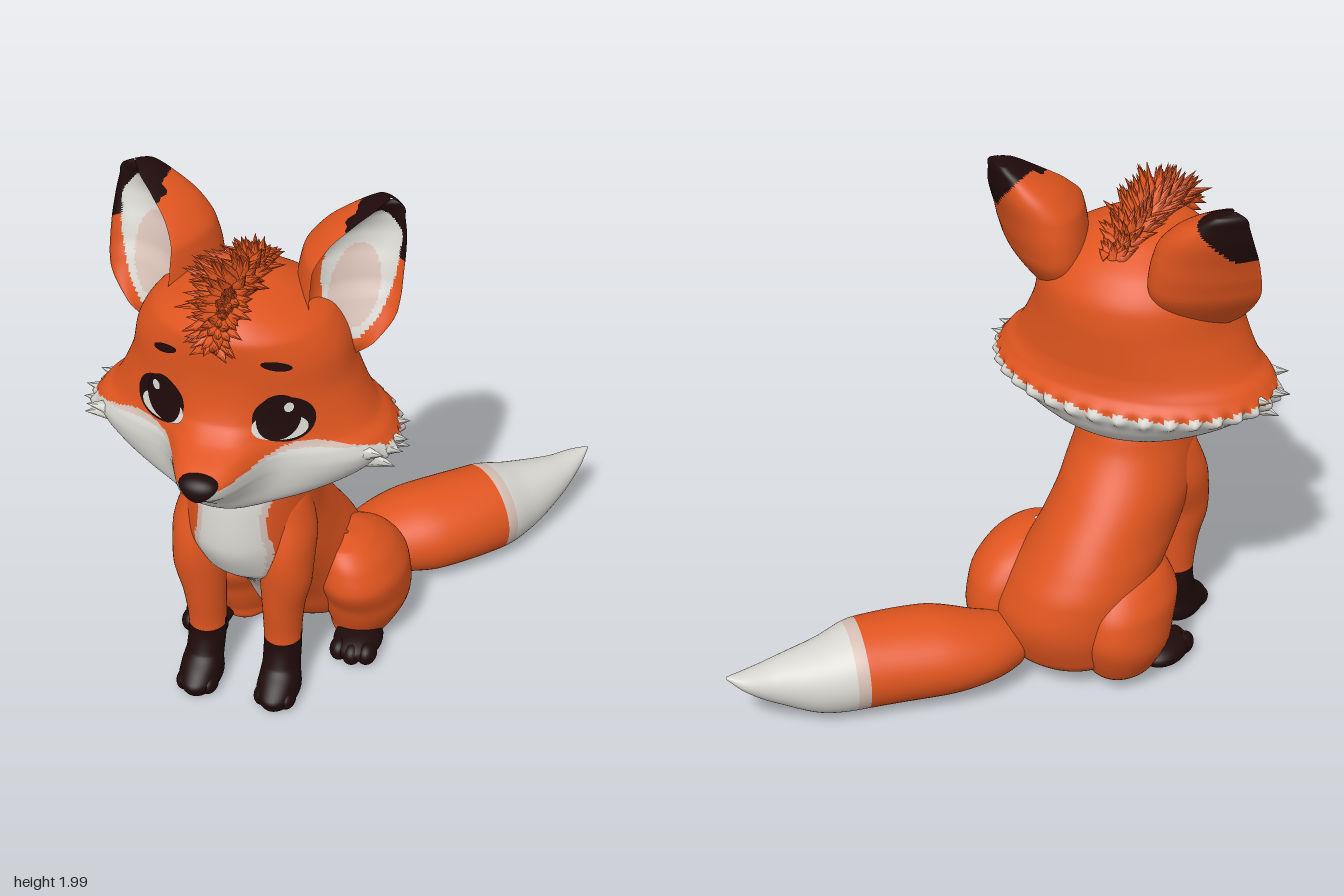
import * as THREE from 'three';
import { mergeGeometries } from 'three/addons/utils/BufferGeometryUtils.js';

const mat = (name, color) => Object.assign(new THREE.MeshStandardMaterial({ color }), { name });
const orange = mat('orange fur', 0xe0551f), white = mat('white fur', 0xd8d6d0);
const pale = mat('pale fur', 0xd5beb4), dark = mat('dark brown', 0x1f0a0b);
const MATS = [orange, white, pale, dark], O = 0, W = 1, P = 2, D = 3;
const { sin, cos, abs, exp, max, sqrt, PI } = Math;

// Smooth monotone interpolation of key rows; column 0 is the station
function sample(keys, s) {
  let i = 0;
  while (i < keys.length - 2 && s > keys[i + 1][0]) i++;
  const slope = (j, c) => (keys[j + 1][c] - keys[j][c]) / (keys[j + 1][0] - keys[j][0]);
  const tangent = (j, c) => {
    if (j === 0) return slope(0, c);
    if (j === keys.length - 1) return slope(j - 1, c);
    const a = slope(j - 1, c), b = slope(j, c);
    return a * b <= 0 ? 0 : 2 * a * b / (a + b);
  };
  const A = keys[i], B = keys[i + 1], h = B[0] - A[0], t = (s - A[0]) / h, t2 = t * t, t3 = t2 * t;
  return A.map((a, c) => c === 0 ? s : (2 * t3 - 3 * t2 + 1) * a + (t3 - 2 * t2 + t) * h * tangent(i, c)
    + (3 * t2 - 2 * t3) * B[c] + (t3 - t2) * h * tangent(i + 1, c));
}

// Closed skin over key rings; place(row, angle) gives a point, paint(point, angle, station) a colour
function loft(name, keys, sub, seg, place, paint) {
  const pos = [], rows = [];
  keys.forEach((k, i) => {
    const n = i < keys.length - 1 ? sub : 1;
    for (let j = 0; j < n; j++) rows.push(j ? k[0] + (keys[i + 1][0] - k[0]) * j / n : k[0]);
  });
  for (const s of rows) for (let j = 0; j < seg; j++) pos.push(new THREE.Vector3(...place(sample(keys, s), j / seg * 2 * PI)));
  const faces = MATS.map(() => []), cross = new THREE.Vector3();
  let volume = 0;
  const tri = (a, b, c, angle, s) => {
    volume += pos[a].dot(cross.crossVectors(pos[b], pos[c]));
    const mid = pos[a].clone().add(pos[b]).add(pos[c]).divideScalar(3);
    faces[paint(mid, angle, s)].push([a, b, c]);
  };
  for (let i = 0; i < rows.length - 1; i++) for (let j = 0; j < seg; j++) {
    const a = i * seg + j, b = i * seg + (j + 1) % seg, angle = (j + 0.5) / seg * 2 * PI, s = (rows[i] + rows[i + 1]) / 2;
    tri(a, b, a + seg, angle, s);
    tri(b, b + seg, a + seg, angle, s);
  }
  const geo = new THREE.BufferGeometry().setFromPoints(pos), index = [];
  faces.forEach((list, m) => {
    if (list.length) geo.addGroup(index.length, list.length * 3, m);
    for (const [a, b, c] of list) index.push(a, ...(volume < 0 ? [c, b] : [b, c]));
  });
  geo.setIndex(index);
  geo.computeVertexNormals();
  const mesh = new THREE.Mesh(geo, MATS);
  mesh.name = name;
  return mesh;
}

function ball(name, material, x, y, z, rx, ry, rz) {
  const m = new THREE.Mesh(new THREE.SphereGeometry(1, 28, 18), material);
  m.name = name;
  m.position.set(x, y, z);
  m.scale.set(rx, ry, rz);
  return m;
}

// A cone from a base point along a direction
function spike(base, dir, length, radius) {
  const q = new THREE.Quaternion().setFromUnitVectors(new THREE.Vector3(0, 1, 0), dir.clone().normalize());
  return new THREE.ConeGeometry(radius, length, 6).translate(0, length / 2, 0).applyQuaternion(q).translate(base.x, base.y, base.z);
}

// Head rings: y, half width, back depth, front depth, muzzle length (around z = 0.4)
const HEAD = [
  [0.975, 0.01, 0.01, 0.01, 0], [0.985, 0.2, 0.22, 0.24, 0], [1.0, 0.29, 0.28, 0.28, 0.03], [1.05, 0.4, 0.34, 0.3, 0.08],
  [1.1, 0.475, 0.375, 0.3, 0.12], [1.16, 0.53, 0.4, 0.3, 0.19], [1.19, 0.54, 0.4, 0.3, 0.23], [1.23, 0.52, 0.375, 0.3, 0.245],
  [1.27, 0.475, 0.365, 0.295, 0.185], [1.31, 0.45, 0.36, 0.29, 0.09], [1.36, 0.425, 0.36, 0.29, 0.035], [1.45, 0.39, 0.36, 0.29, 0.01],
  [1.55, 0.37, 0.35, 0.293, 0], [1.65, 0.315, 0.29, 0.295, 0], [1.71, 0.22, 0.21, 0.26, 0], [1.755, 0.11, 0.12, 0.18, 0], [1.77, 0.01, 0.01, 0.01, 0]];
const muzzle = x => exp(-Math.pow(abs(x) / 0.14, 3));
function headFront(x, y) {
  const [, w, , f, s] = sample(HEAD, y);
  return 0.4 + f * sqrt(max(0, 1 - (x / w) ** 2)) + s * muzzle(x);
}

// Thin oval laid on the face
function facePatch(name, material, x, y, rx, ry, turn, lift) {
  const geo = new THREE.RingGeometry(0.001, 1, 36, 6).scale(rx, ry, 1).rotateZ(turn).translate(x, y, 0);
  const p = geo.attributes.position;
  for (let i = 0; i < p.count; i++) p.setZ(i, headFront(p.getX(i), p.getY(i)) + lift);
  geo.computeVertexNormals();
  const m = new THREE.Mesh(geo, material);
  m.name = name;
  return m;
}

function makeHead() {
  const head = new THREE.Group();
  head.name = 'head';
  // Skull with a rippled fur edge round the back and sides
  head.add(loft('skull', HEAD, 6, 180, ([y, w, b, f, s], a) => {
    const c = cos(a), ruffle = c < 0.3 ? 1 + 0.035 * (1 + sin(36 * a)) * exp(-(((y - 1.16) / 0.028) ** 2)) : 1;
    const x = w * sin(a);
    return [x * ruffle, y, 0.4 + (c > 0 ? f : b) * c * ruffle + (c > 0 ? s * muzzle(x) * Math.min(1, c * 4) : 0)];
  }, (p, a) => {
    if (p.y < 1.03 && p.z < 0.28) return P;
    const k = THREE.MathUtils.smoothstep(p.z, 0.38, 0.56), cheek = exp(-(((abs(p.x) - 0.29) / 0.13) ** 2));
    const line = (1.18 + 0.012 * sin(36 * a)) * (1 - k) + k * (1.225 + 0.035 * cheek);
    return p.y < line ? W : p.y < line + 0.025 * cheek * k ? P : O;
  }));

  // Pointed cheek tufts
  const tufts = [];
  for (const s of [1, -1]) for (let i = 0; i < 6; i++) {
    const a = PI * (0.36 + 0.045 * i), y = 1.165 + 0.025 * cos(i * 2.4);
    tufts.push(spike(new THREE.Vector3(s * 0.49 * sin(a), y, 0.4 + 0.28 * cos(a)), new THREE.Vector3(s * sin(a), 0.15 * cos(i * 2.4), 0.5 * cos(a)), 0.1, 0.038));
  }
  const tuftMesh = new THREE.Mesh(mergeGeometries(tufts), white);
  tuftMesh.name = 'cheekTufts';
  head.add(tuftMesh);

  // Nose, wider at the top, and mouth
  const nose = ball('nose', dark, 0, 1.225, 0.91, 0.08, 0.05, 0.05);
  const np = nose.geometry.attributes.position;
  for (let i = 0; i < np.count; i++) np.setX(i, np.getX(i) * (0.8 + 0.35 * np.getY(i)));
  head.add(nose, facePatch('mouth', dark, 0, 1.11, 0.036, 0.009, 0, 0.005));

  // Ear rings: y, centre x, centre z, half width, back depth, hollow depth
  const EAR = [[1.44, 0.31, 0.36, 0.04, 0.1, 0], [1.52, 0.355, 0.39, 0.105, 0.24, 0.02], [1.65, 0.385, 0.38, 0.155, 0.32, 0.08],
    [1.72, 0.385, 0.36, 0.162, 0.305, 0.1], [1.8, 0.385, 0.33, 0.162, 0.27, 0.1], [1.87, 0.4, 0.285, 0.14, 0.22, 0.08],
    [1.94, 0.435, 0.235, 0.085, 0.15, 0.04], [1.985, 0.46, 0.2, 0.04, 0.09, 0.01], [2.0, 0.455, 0.18, 0.005, 0.005, 0]];
  // White almond of the opening: y, inner x, outer x
  const OPENING = [[1.53, 0.35, 0.39], [1.6, 0.29, 0.445], [1.68, 0.265, 0.475], [1.78, 0.255, 0.495], [1.87, 0.28, 0.498], [1.93, 0.34, 0.46], [1.965, 0.39, 0.43]];
  for (const s of [1, -1]) {
    head.add(loft(s > 0 ? 'leftEar' : 'rightEar', EAR, 10, 80, ([y, x, z, w, d, h], a) => {
      const u = w * sin(a), c = cos(a), bx = c > 0 ? -0.53 * h : 0.65 * d, bz = c > 0 ? -0.85 * h : 0.83 * d;
      return [s * (x + 0.85 * u + bx * c), y, z - 0.53 * u + bz * c];
    }, (p, a, y) => {
      const x = abs(p.x), [, inner, outer] = sample(OPENING, y);
      if (cos(a) > 0 && y > 1.53 && y < 1.965 && x > inner && x < outer)
        return ((x - 0.36) / 0.08) ** 2 + ((y - 1.7) / 0.135) ** 2 < 1 ? P : W;
      return y > 1.8 + max(0, 0.47 - x) * (cos(a) > -0.4 ? 0.85 : 1.2) ? D : O;
    }));
    // Eye layers and brow
    head.add(
      facePatch('lashes', dark, s * 0.218, 1.373, 0.1, 0.084, -s * 0.4, 0.003),
      facePatch('eyeWhite', white, s * 0.208, 1.346, 0.088, 0.05, -s * 0.12, 0.005),
      facePatch('iris', dark, s * 0.203, 1.384, 0.07, 0.087, 0, 0.007),
      facePatch('eyeGlint', white, s * 0.235, 1.42, 0.015, 0.018, 0, 0.009),
      facePatch('brow', dark, s * 0.195, 1.583, 0.05, 0.016, -s * 0.3, 0.006));
  }

  // Spiky crest over the crown
  const ridge = new THREE.CatmullRomCurve3([[1.7, 0.18], [1.755, 0.3], [1.775, 0.42], [1.78, 0.56], [1.735, 0.69], [1.67, 0.73]].map(([y, z]) => new THREE.Vector3(0, y, z)));
  let seed = 7;
  const rnd = () => (seed = (seed * 16807) % 2147483647) / 2147483647;
  const hairs = [];
  for (let i = 0; i < 190; i++) {
    const t = (i + rnd()) / 190, base = ridge.getPointAt(t), tan = ridge.getTangentAt(t), fan = (rnd() - 0.5) * 2.6;
    const up = new THREE.Vector3(0, tan.z, -tan.y), wide = 0.55 + 0.6 * sin(PI * t ** 1.2);
    const dir = up.multiplyScalar(cos(fan)).add(new THREE.Vector3(sin(fan), 0, 0)).addScaledVector(tan, 0.2 + rnd() * 0.6);
    base.x += sin(fan) * 0.05 * wide;
    hairs.push(spike(base, dir, (0.075 + 0.045 * rnd()) * wide, 0.024));
  }
  const crest = new THREE.Mesh(mergeGeometries(hairs), orange);
  crest.name = 'crest';
  head.add(crest);
  head.position.x = -0.21;
  return head;
}

export function createModel() {
  const fox = new THREE.Group();
  fox.name = 'sittingFox';
  fox.add(makeHead());

  // Torso rings: y, centre x, half width, back z, front z
  const TORSO = [[0.05, -0.12, 0.01, 0.0, 0.02], [0.065, -0.12, 0.14, -0.1, 0.12], [0.15, -0.11, 0.25, -0.195, 0.22], [0.3, -0.12, 0.275, -0.235, 0.31],
    [0.42, -0.15, 0.27, -0.21, 0.41], [0.52, -0.175, 0.26, -0.155, 0.51], [0.6, -0.19, 0.25, -0.1, 0.59], [0.75, -0.21, 0.237, 0.015, 0.648],
    [0.9, -0.21, 0.213, 0.125, 0.638], [1.02, -0.21, 0.185, 0.18, 0.6], [1.06, -0.21, 0.01, 0.35, 0.4]];
  const BIB = [[0.05, 0.05], [0.45, 0.055], [0.52, 0.075], [0.6, 0.125], [0.72, 0.145], [0.86, 0.125], [1.06, 0.175]];
  fox.add(loft('torso', TORSO, 8, 120, ([y, x, w, b, f], a) => [x + w * sin(a), y, (b + f) / 2 + (f - b) / 2 * cos(a)], (p, a, y) => {
    const edge = sample(BIB, max(y, 0.05))[1], x = abs(p.x + 0.205);
    if (cos(a) < 0.2 || y < 0.09 || x > edge) return O;
    return x > edge - 0.022 || y < 0.42 ? P : W;
  }));

  for (const s of [1, -1]) {
    const side = s > 0 ? 'left' : 'right';
    // Front leg rings: y, side offset, centre z, half width, half depth
    const LEG = [[0.01, 0.15, 0.54, 0.01, 0.01], [0.02, 0.15, 0.54, 0.065, 0.105], [0.06, 0.15, 0.54, 0.08, 0.122], [0.1, 0.15, 0.525, 0.076, 0.1], [0.15, 0.147, 0.49, 0.07, 0.075],
      [0.25, 0.145, 0.465, 0.07, 0.072], [0.4, 0.15, 0.47, 0.078, 0.085], [0.55, 0.165, 0.475, 0.095, 0.1], [0.7, 0.17, 0.44, 0.095, 0.13], [0.85, 0.145, 0.41, 0.08, 0.12], [0.96, 0.12, 0.4, 0.01, 0.01]];
    fox.add(loft(side + 'FrontLeg', LEG, 6, 40, ([y, x, z, w, d], a) => [-0.21 + s * x + w * sin(a), y, z + d * cos(a)],
      (p, a, y) => y < 0.265 - 0.02 * cos(a) ? D : O));
    // Haunch rings: y, inward lean, centre z, half width, half depth
    const HAUNCH = [[0.025, 0.02, 0.08, 0.01, 0.01], [0.035, 0.02, 0.08, 0.085, 0.11], [0.1, 0.01, 0.06, 0.13, 0.16], [0.22, 0, 0.06, 0.165, 0.21],
      [0.34, 0.005, 0.095, 0.167, 0.235], [0.43, 0.022, 0.115, 0.145, 0.2], [0.5, 0.045, 0.145, 0.09, 0.12], [0.525, 0.055, 0.16, 0.01, 0.01]];
    const hx = s > 0 ? 0.14 : -0.345, fx = s > 0 ? 0.15 : -0.435;
    fox.add(loft(side + 'Haunch', HAUNCH, 6, 48, ([y, x, z, w, d], a) => [hx - s * x + w * sin(a), y, z + d * cos(a)], () => O));
    // Hind foot and toes
    fox.add(ball(side + 'HindFoot', dark, fx, 0.068, 0.21, 0.092, 0.05, 0.125));
    for (const k of [-1, 0, 1]) {
      fox.add(ball('hindToe', dark, fx + k * 0.052, 0.06, 0.292 - 0.015 * abs(k), 0.038, 0.044, 0.05));
      fox.add(ball('frontToe', dark, -0.21 + s * 0.15 + k * 0.045, 0.05, 0.61 - 0.02 * abs(k), 0.034, 0.038, 0.048));
    }
  }

  // Tail rings: station, centre x, y, z, half width, half height
  const TAIL = [[0, -0.02, 0.18, -0.1, 0.01, 0.01], [0.05, 0.02, 0.18, -0.14, 0.11, 0.09], [0.2, 0.1, 0.185, -0.24, 0.16, 0.125], [0.4, 0.26, 0.19, -0.37, 0.2, 0.16], [0.62, 0.45, 0.185, -0.55, 0.185, 0.165],
    [0.75, 0.55, 0.17, -0.67, 0.145, 0.14], [0.9, 0.67, 0.195, -0.81, 0.085, 0.08], [0.97, 0.735, 0.23, -0.9, 0.045, 0.035], [1, 0.775, 0.26, -0.945, 0.005, 0.005]];
  fox.add(loft('tail', TAIL, 10, 48, ([, x, y, z, w, h], a) => [x + 0.71 * w * sin(a), y + h * cos(a), z + 0.71 * w * sin(a)],
    (p, a, t) => t > 0.66 ? W : t > 0.61 ? P : O));
  return fox;
}
